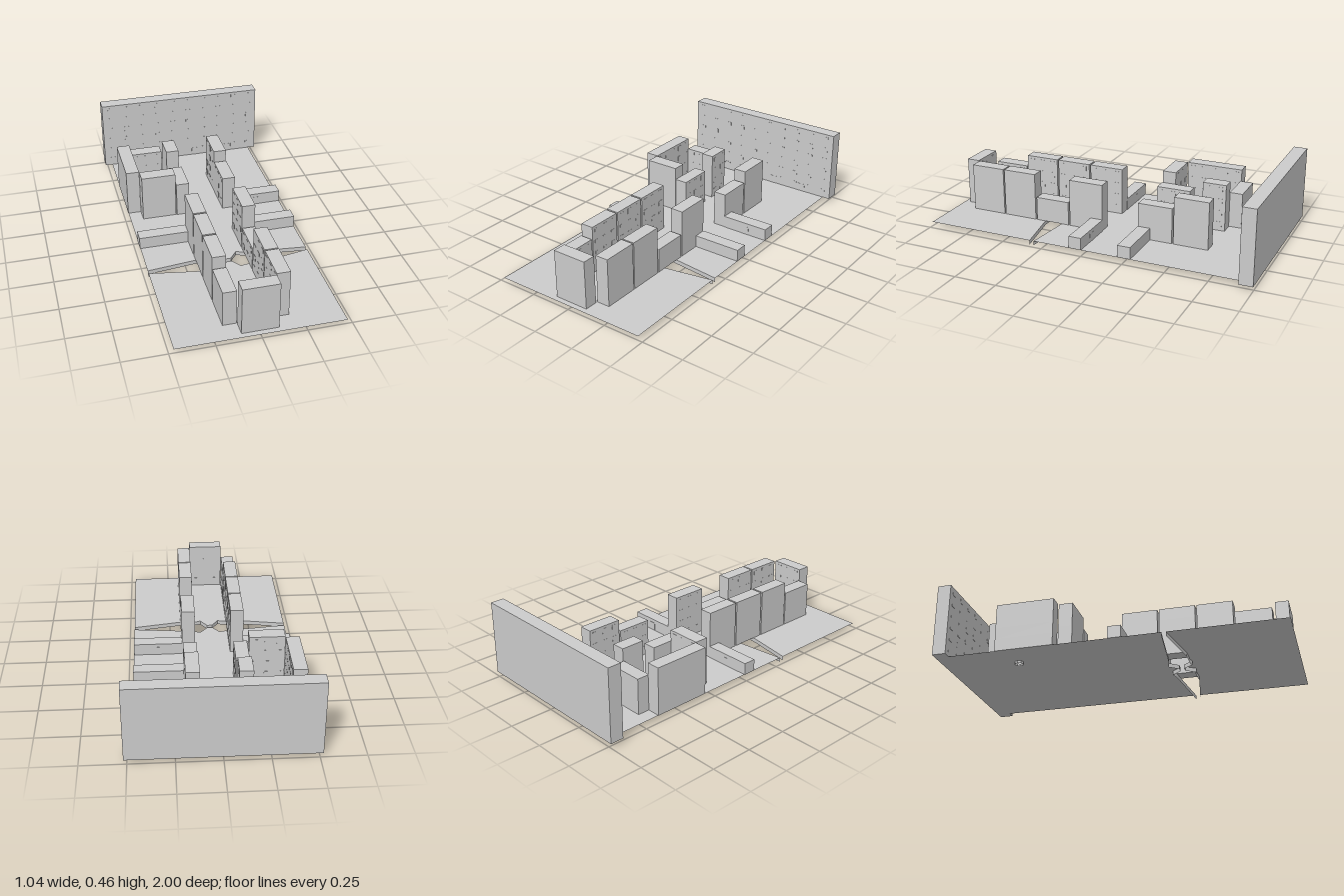
import * as THREE from 'three';

const BASE = 0.025; // ground level
const FLOOR = 0.0714; // storey height

export function createModel() {
  const root = new THREE.Group();
  const mat = new THREE.MeshStandardMaterial({ color: 0xcccccc, flatShading: true });
  const thin = new THREE.MeshStandardMaterial({ color: 0xcccccc, flatShading: true, side: THREE.DoubleSide });

  function add(parent, name, geometry, material = mat) {
    const mesh = new THREE.Mesh(geometry, material);
    mesh.name = name;
    parent.add(mesh);
    return mesh;
  }
  function box(parent, name, x0, x1, y0, y1, z0, z1) {
    const mesh = add(parent, name, new THREE.BoxGeometry(x1 - x0, y1 - y0, z1 - z0));
    mesh.position.set((x0 + x1) / 2, (y0 + y1) / 2, (z0 + z1) / 2);
  }

  // Panel lying on one face of a block; u runs along the face
  function panel(parent, name, b, face, u, w, y0, y1) {
    const d = 0.001;
    const [x0, x1, z0, z1] = b;
    if (face === '+x' || face === '-x') {
      const x = face === '+x' ? x1 : x0;
      box(parent, name, x - d, x + d, y0, y1, u - w / 2, u + w / 2);
    } else {
      const z = face === '+z' ? z1 : z0;
      box(parent, name, u - w / 2, u + w / 2, y0, y1, z - d, z + d);
    }
  }

  // Block of stacked storeys, with windows and doors on the courtyard face
  function building(name, b, floors, face, doors = [], height = FLOOR, pitch = 0.07) {
    const g = new THREE.Group();
    g.name = name;
    const [x0, x1, z0, z1] = b;
    for (let i = 0; i < floors; i++) {
      const y = BASE + i * height;
      box(g, 'storey', x0, x1, y, y + height, z0, z1);
      if (!face || floors === 1) continue;
      const [a, e] = face[1] === 'x' ? [z0, z1] : [x0, x1];
      const n = Math.max(1, Math.round((e - a) / pitch));
      for (let k = 0; k < n; k++) {
        const u = a + ((k + 0.5) * (e - a)) / n;
        if (i === 0 && doors.some((d) => Math.abs(d - u) < 0.05)) continue;
        panel(g, 'window', b, face, u, 0.03, y + 0.025, y + 0.056);
      }
    }
    for (const u of doors) panel(g, 'door', b, face, u, 0.05, BASE, BASE + 0.05);
    root.add(g);
  }

  // Rear slab block
  building('rearSlabBlock', [-0.518, 0.518, -1, -0.92], 6, '+z', [-0.31, -0.1, 0.1, 0.31], 0.0725, 0.104);

  // Two facing rows: [z start, z end, left storeys, right storeys]
  const rows = [
    [0.67, 0.88, 3, 4],
    [0.455, 0.662, 4, 4],
    [0.235, 0.445, 4, 2],
    [0.015, 0.225, 4, 4],
    [-0.42, -0.213, 3, 3],
  ];
  for (const [z0, z1, left, right] of rows) {
    building('westRowBlock', [-0.185, -0.107, z0, z1], left, '+x');
    building('eastRowBlock', [0.105, 0.183, z0, z1], right, '-x');
  }
  building('westRowShortBlock', [-0.185, -0.107, -0.64, -0.498], 4, '+x');
  building('eastRowRearBlock', [0.105, 0.183, -0.638, -0.43], 4, '-x');
  building('frontEndBlock', [-0.105, 0.102, 0.89, 0.968], 4, '-z');

  // Blocks around the side courtyard
  building('courtyardWestBlock', [-0.475, -0.396, -0.643, -0.302], 4, '+x');
  building('courtyardFrontBlock', [-0.396, -0.19, -0.298, -0.216], 4, '-z');
  building('courtyardRearBlock', [-0.396, -0.19, -0.715, -0.638], 3, '+z');

  // Single-storey shops along the cross street
  building('westShop', [-0.475, -0.185, 0.012, 0.088], 1, '-z', [-0.33]);
  building('eastShop', [0.183, 0.472, 0.012, 0.088], 1, '-z', [0.33]);
  building('eastRearShop', [0.183, 0.472, -0.288, -0.211], 1, '+z', [0.33]);

  // Ground in two halves, split by a cutting that narrows at the middle and sides
  const mirror = (half) => [...half.map(([x, z]) => [-x, z]), ...half.slice().reverse()];
  const rearEdge = mirror([[0.473, 0.313], [0.11, 0.272], [0.06, 0.257], [0.016, 0.312]]);
  const frontEdge = mirror([[0.473, 0.338], [0.18, 0.39], [0.08, 0.388], [0.055, 0.397], [0.016, 0.34]]);
  const drain = [-0.295, -0.562];

  function ground(name, edge, farZ, hole) {
    const pts = [...edge, [0.473, farZ], [-0.473, farZ]];
    const shape = new THREE.Shape(pts.map(([x, z]) => new THREE.Vector2(x, -z)));
    if (hole) shape.holes.push(new THREE.Path().absarc(drain[0], -drain[1], 0.025, 0, Math.PI * 2, true));
    const geo = new THREE.ShapeGeometry(shape, 8);
    geo.rotateX(-Math.PI / 2);
    add(root, name, geo, thin).position.y = BASE;

    // Retaining wall hanging from the cut edge
    const pos = [];
    const index = [];
    edge.forEach(([x, z], i) => {
      pos.push(x, BASE, z, x, 0, z);
      const k = 2 * i;
      if (i < edge.length - 1) index.push(k, k + 1, k + 2, k + 2, k + 1, k + 3);
    });
    const wall = new THREE.BufferGeometry();
    wall.setAttribute('position', new THREE.Float32BufferAttribute(pos, 3));
    wall.setIndex(index);
    wall.computeVertexNormals();
    add(root, name + 'CuttingWall', wall, thin);
  }
  ground('rearGround', rearEdge, -0.92, true);
  ground('frontGround', frontEdge, 1, false);

  // Round shaft below the courtyard
  const shaft = add(root, 'drainShaft', new THREE.CylinderGeometry(0.025, 0.025, 0.015, 8, 1, true), thin);
  shaft.position.set(drain[0], BASE - 0.0075, drain[1]);

  return root;
}
